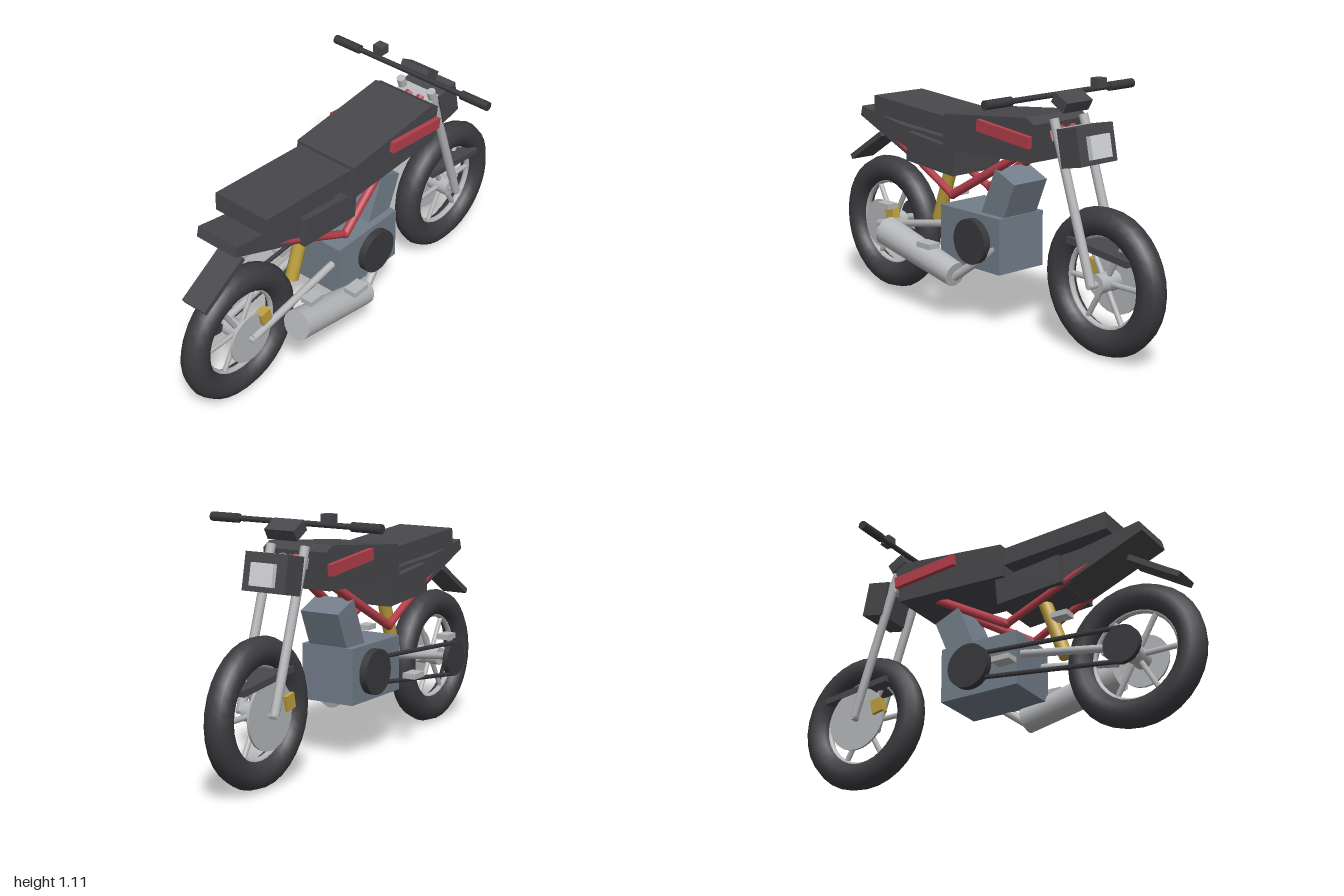
import * as THREE from 'three';

const mat = (name, color, extra = {}) =>
  Object.assign(new THREE.MeshStandardMaterial({ color, ...extra }), { name });

export function createModel() {
  const bike = new THREE.Group();
  bike.name = 'motorcycle';
  const tyreMat = mat('tyre rubber', 0x3d3d41);
  const body = mat('dark body', 0x48484c);
  const black = mat('black metal', 0x39393d);
  const silver = mat('silver metal', 0xb6b7b9);
  const red = mat('red paint', 0xb53f4b);
  const engineMat = mat('engine grey', 0x727e8a);
  const gold = mat('gold metal', 0xbd9f3e);
  const lensMat = mat('lamp lens', 0xd0d3d7);

  const add = (name, geo, material, parent = bike) => {
    const m = new THREE.Mesh(geo, material);
    m.name = name;
    parent.add(m);
    return m;
  };
  const box = (name, material, size, pos, tilt = 0) => {
    const m = add(name, new THREE.BoxGeometry(...size), material);
    m.position.set(...pos);
    m.rotation.z = tilt;
    return m;
  };
  // Straight rod between two points, r0 at a and r1 at b
  const rod = (name, material, a, b, r0, r1 = r0, sides = 10, parent = bike) => {
    const p = new THREE.Vector3(...a), q = new THREE.Vector3(...b);
    const d = q.clone().sub(p);
    const m = add(name, new THREE.CylinderGeometry(r1, r0, d.length(), sides), material, parent);
    m.position.copy(p).add(q).multiplyScalar(0.5);
    m.quaternion.setFromUnitVectors(new THREE.Vector3(0, 1, 0), d.normalize());
    return m;
  };
  // Side profile extruded across the bike
  const slab = (name, material, points, half) => {
    const shape = new THREE.Shape(points.map(([x, y]) => new THREE.Vector2(x, y)));
    const geo = new THREE.ExtrudeGeometry(shape, { depth: half * 2, bevelEnabled: false });
    geo.translate(0, 0, -half);
    return add(name, geo, material);
  };
  const sides = [1, -1];

  // Wheels
  const wheel = (name, x, discR, discZ) => {
    const g = new THREE.Group();
    g.name = name;
    g.position.set(x, 0.315, 0);
    bike.add(g);
    add('tyre', new THREE.TorusGeometry(0.253, 0.061, 10, 32), tyreMat, g);
    add('rim', new THREE.TorusGeometry(0.199, 0.015, 8, 32), silver, g);
    rod('hub', silver, [0, 0, -0.055], [0, 0, 0.055], 0.042, 0.042, 16, g);
    for (let i = 0; i < 6; i++) {
      const a = (i * Math.PI) / 3;
      rod('spoke', silver, [0, 0, 0], [Math.cos(a) * 0.2, Math.sin(a) * 0.2, 0], 0.012, 0.012, 6, g);
    }
    rod('brakeDisc', silver, [0, 0, discZ - 0.005], [0, 0, discZ + 0.005], discR, discR, 24, g);
  };
  wheel('rearWheel', -0.69, 0.115, 0.068);
  wheel('frontWheel', 0.685, 0.147, -0.06);
  box('rearCaliper', gold, [0.055, 0.06, 0.04], [-0.61, 0.385, 0.07], 0.2);
  box('frontCaliper', gold, [0.055, 0.065, 0.04], [0.567, 0.348, -0.062], -0.2);
  rod('frontAxle', silver, [0.685, 0.315, -0.1], [0.685, 0.315, 0.1], 0.015);
  rod('rearAxle', silver, [-0.69, 0.315, -0.13], [-0.69, 0.315, 0.1], 0.015);

  // Fork, swingarm, frame and foot pegs, mirrored
  for (const s of sides) {
    rod('forkLeg', silver, [0.685, 0.315, s * 0.084], [0.465, 0.97, s * 0.084], 0.02);
    rod('swingarm', silver, [-0.69, 0.32, s * 0.085], [-0.14, 0.42, s * 0.085], 0.017);
    rod('upperFrameTube', red, [0.465, 0.92, s * 0.03], [-0.136, 0.555, s * 0.11], 0.02);
    rod('rearFrameTube', red, [-0.136, 0.555, s * 0.11], [-0.59, 0.765, s * 0.085], 0.017);
    add('frameJoint', new THREE.SphereGeometry(0.02, 10, 8), red).position.set(-0.136, 0.555, s * 0.11);
    box('riderPeg', silver, [0.085, 0.024, 0.062], [-0.183, 0.338, s * 0.211]);
    box('passengerPeg', silver, [0.075, 0.024, 0.055], [-0.465, 0.466, s * 0.213]);
    box('tankPanel', red, [0.315, 0.05, 0.022], [0.255, 0.888, s * 0.168], -0.1);
  }
  box('forkClamp', silver, [0.055, 0.045, 0.19], [0.486, 0.908, 0], 0.32);
  rod('rearShock', gold, [-0.36, 0.39, 0], [-0.25, 0.7, 0], 0.03, 0.03, 10);

  // Bodywork
  slab('tank', body, [[-0.147, 0.763], [0.398, 0.784], [0.422, 0.945], [0.377, 0.97], [-0.134, 0.918]], 0.157);
  slab('seat', body, [[-0.644, 0.854], [-0.14, 0.822], [-0.134, 0.902], [-0.64, 0.935]], 0.14);
  slab('sidePanel', body, [[-0.42, 0.668], [-0.104, 0.645], [-0.094, 0.765], [-0.41, 0.8]], 0.137);
  slab('tail', body, [[-0.79, 0.82], [-0.42, 0.67], [-0.2, 0.7], [-0.2, 0.8], [-0.5, 0.815], [-0.778, 0.865]], 0.105);
  box('rearFender', body, [0.27, 0.024, 0.125], [-0.813, 0.667, 0], 0.56);
  box('frontFender', body, [0.34, 0.028, 0.138], [0.695, 0.456, 0], -0.12);

  // Headlight
  box('headlight', body, [0.112, 0.16, 0.21], [0.572, 0.866, 0], 0.2);
  box('headlightLens', lensMat, [0.03, 0.095, 0.112], [0.638, 0.869, 0], 0.2);

  // Handlebar and instruments
  rod('handlebar', black, [0.42, 1.057, -0.42], [0.42, 1.057, 0.42], 0.012);
  for (const s of sides)
    rod('grip', black, [0.42, 1.057, s * 0.28], [0.42, 1.057, s * 0.421], 0.02);
  box('instrumentBox', body, [0.08, 0.05, 0.146], [0.482, 1.035, 0], -0.52);
  box('brakeReservoir', body, [0.046, 0.04, 0.05], [0.449, 1.087, -0.188]);

  // Engine
  box('crankcase', engineMat, [0.38, 0.246, 0.256], [-0.005, 0.382, 0]);
  box('cylinder', engineMat, [0.13, 0.28, 0.19], [0.129, 0.554, 0], -0.4);
  for (const s of sides)
    rod('engineCover', black, [0.03, 0.383, s * 0.12], [0.03, 0.383, s * 0.163], 0.1, 0.1, 24);

  // Chain drive
  rod('rearSprocket', black, [-0.69, 0.315, -0.14], [-0.69, 0.315, -0.115], 0.083, 0.083, 20);
  rod('upperChain', black, [-0.69, 0.39, -0.132], [0.03, 0.44, -0.137], 0.01, 0.01, 6);
  rod('lowerChain', black, [-0.69, 0.24, -0.132], [0.03, 0.33, -0.137], 0.01, 0.01, 6);

  // Exhaust
  rod('exhaustPipe', silver, [0.15, 0.37, 0.11], [-0.07, 0.205, 0.158], 0.02);
  rod('muffler', silver, [-0.52, 0.33, 0.172], [-0.065, 0.216, 0.157], 0.068, 0.057, 16);

  return bike;
}
